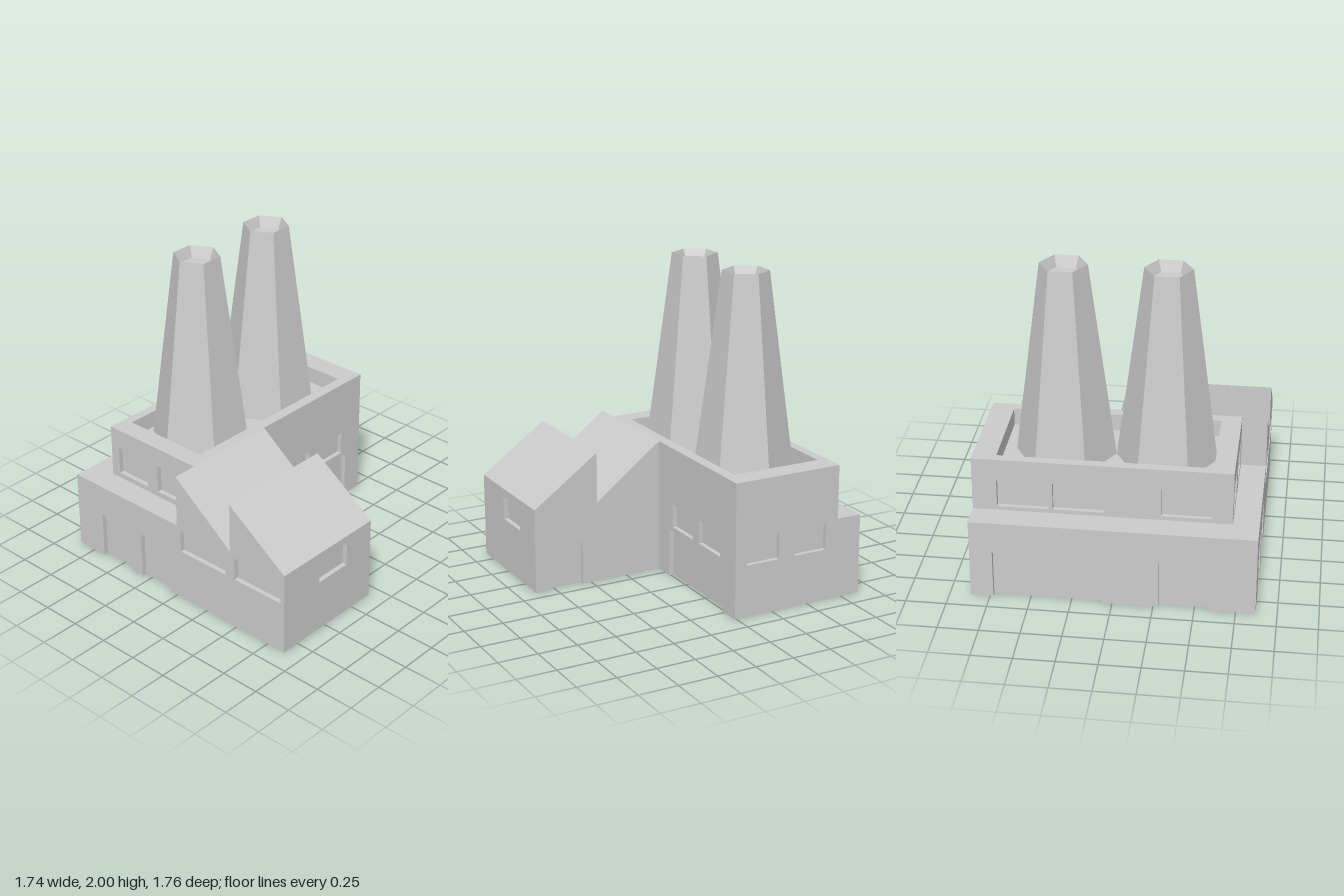
import * as THREE from 'three';

const material = new THREE.MeshStandardMaterial({ color: 0xcccccc, flatShading: true, side: THREE.DoubleSide });

function addMesh(parent, name, geometry) {
  const mesh = new THREE.Mesh(geometry, material);
  mesh.name = name;
  parent.add(mesh);
  return mesh;
}

// Geometry from a list of quads, each with four [x, y, z] corners, counter-clockwise
function quads(list) {
  const positions = list.flatMap(([a, b, c, d]) => [a, b, c, a, c, d].flat());
  const geometry = new THREE.BufferGeometry();
  geometry.setAttribute('position', new THREE.Float32BufferAttribute(positions, 3));
  geometry.computeVertexNormals();
  return geometry;
}

// Panel plus four reveals set back behind an opening; doors have no sill
function recess([u0, v0, u1, v1], depth) {
  const corners = [[u0, v0], [u1, v0], [u1, v1], [u0, v1]];
  const list = [corners.map(([u, v]) => [u, v, -depth])];
  corners.forEach(([u, v], i) => {
    if (i === 0 && v0 === 0) return;
    const [s, t] = corners[(i + 1) % 4];
    list.push([[u, v, 0], [s, t, 0], [s, t, -depth], [u, v, -depth]]);
  });
  return quads(list);
}

// Flat wall facing local +z. top: outline above the base, from right to left.
// Doors [u0, u1, height] notch the base; windows [u0, v0, u1, v1] are holes.
function addWall(parent, name, { left, right, base = 0, top, doors = [], windows = [], depth = 0.03 }) {
  const group = new THREE.Group();
  group.name = name;
  const outline = [[left, base]];
  for (const [a, b, h] of doors) outline.push([a, 0], [a, h], [b, h], [b, 0]);
  outline.push([right, base], ...top);
  const shape = new THREE.Shape(outline.map(([u, v]) => new THREE.Vector2(u, v)));
  for (const [a, b, c, d] of windows) {
    const corners = [[a, b], [a, d], [c, d], [c, b]];
    shape.holes.push(new THREE.Path(corners.map(([u, v]) => new THREE.Vector2(u, v))));
  }
  addMesh(group, name + 'Surface', new THREE.ShapeGeometry(shape));
  doors.forEach(([a, b, h]) => addMesh(group, 'door', recess([a, 0, b, h], depth)));
  windows.forEach((w) => addMesh(group, name === 'parapet' ? 'sunkenRoof' : 'window', recess(w, depth)));
  parent.add(group);
  return group;
}

export function createModel() {
  const model = new THREE.Group();
  model.name = 'factory';
  const X = 0.87, BACK = -0.88, FRONT = 0.88, MID = 0.01;
  const STEP = 0.515, TOP = 0.86, WING = -0.08, INX = -0.71, INZ = -0.715;
  const rect = (l, r, v) => [[r, v], [l, v]];
  const W0 = 0.34, W1 = 0.49;

  // Front walls
  addWall(model, 'mainFrontWall', {
    left: WING, right: X, top: rect(WING, X, TOP),
    doors: [[0.06, 0.73, 0.31]],
    windows: [[0.1, W0, 0.355, W1], [0.43, W0, 0.685, W1]],
  }).position.z = MID;
  addWall(model, 'wingFrontWall', {
    left: -X, right: WING, top: rect(-X, WING, 0.545),
    windows: [[-0.555, W0, -0.305, W1]],
  }).position.z = FRONT;

  // Left side walls, facing +x (local u = -z)
  const mainLeft = addWall(model, 'mainLeftWall', {
    left: -MID, right: -BACK,
    top: [[-BACK, STEP], [-INZ, STEP], [-INZ, TOP], [-MID, TOP]],
    windows: [[0.07, 0.33, 0.295, 0.5], [0.41, 0.33, 0.63, 0.5]],
  });
  mainLeft.rotation.y = Math.PI / 2;
  mainLeft.position.x = X;

  // Saw-tooth roof profile of the wing as [z, y], back to front
  const saw = [[MID, TOP], [0.45, 0.525], [0.45, 0.85], [FRONT, 0.545]];
  const wingLeft = addWall(model, 'wingLeftWall', {
    left: -FRONT, right: -MID, top: saw.map(([z, y]) => [-z, y]),
    doors: [[-0.77, -0.555, 0.28]],
  });
  wingLeft.rotation.y = Math.PI / 2;
  wingLeft.position.x = WING;

  // Right side walls, facing -x (local u = z)
  const right = addWall(model, 'rightWall', {
    left: BACK, right: FRONT,
    top: [...saw.slice().reverse(), [MID, STEP], [BACK, STEP]],
    doors: [[-0.66, -0.4, 0.31], [-0.31, -0.07, 0.31]],
    windows: [[0.04, W0, 0.41, W1], [0.485, W0, 0.85, W1]],
  });
  right.rotation.y = -Math.PI / 2;
  right.position.x = -X;
  const upperRight = addWall(model, 'upperRightWall', {
    left: INZ, right: MID, base: STEP, top: rect(INZ, MID, TOP),
    windows: [[-0.65, 0.55, -0.4, 0.73], [-0.31, 0.55, -0.06, 0.73]],
  });
  upperRight.rotation.y = -Math.PI / 2;
  upperRight.position.x = INX;

  // Back walls (local u = -x)
  const back = addWall(model, 'backWall', {
    left: -X, right: X, top: rect(-X, X, STEP),
    doors: [[-0.73, -0.06, 0.31], [0.28, 0.58, 0.31]],
  });
  const upperBack = addWall(model, 'upperBackWall', {
    left: -X, right: -INX, base: STEP, top: rect(-X, -INX, TOP),
    windows: [[-0.72, 0.54, -0.405, 0.72], [-0.38, 0.54, -0.065, 0.72], [0.28, 0.54, 0.58, 0.72]],
  });
  const wingBack = addWall(model, 'wingBackWall', {
    left: -INX, right: X, base: STEP, top: rect(-INX, X, TOP),
  });
  [[back, BACK], [upperBack, INZ], [wingBack, MID]].forEach(([wall, z]) => {
    wall.rotation.y = Math.PI;
    wall.position.z = z;
  });

  // Horizontal surfaces (local v = -z): stepped ledge and parapet around the sunken roof
  const ledge = addWall(model, 'ledge', {
    left: -X, right: INX, base: -MID,
    top: [[INX, -INZ], [X, -INZ], [X, -BACK], [-X, -BACK]],
  });
  const parapet = addWall(model, 'parapet', {
    left: INX, right: X, base: -MID, top: rect(INX, X, -INZ),
    windows: [[-0.585, 0.06, 0.725, 0.655]], depth: 0.11,
  });
  [[ledge, STEP], [parapet, TOP]].forEach(([part, y]) => {
    part.rotation.x = -Math.PI / 2;
    part.position.y = y;
  });

  // Saw-tooth roof
  addMesh(model, 'wingRoof', quads(saw.slice(1).map(([z1, y1], i) => {
    const [z0, y0] = saw[i];
    return [[-X, y0, z0], [-X, y1, z1], [WING, y1, z1], [WING, y0, z0]];
  })));

  // Six-sided tapering chimneys with a shallow hollow at the top
  const profile = [[0.31, 0.75], [0.145, 2], [0.115, 1.93], [0, 1.93]].map(([r, y]) => new THREE.Vector2(r, y));
  for (const x of [-0.275, 0.345]) {
    const geometry = new THREE.LatheGeometry(profile, 6, Math.PI / 6).toNonIndexed();
    geometry.computeVertexNormals();
    addMesh(model, 'chimney', geometry).position.set(x, 0, -0.355);
  }

  return model;
}
